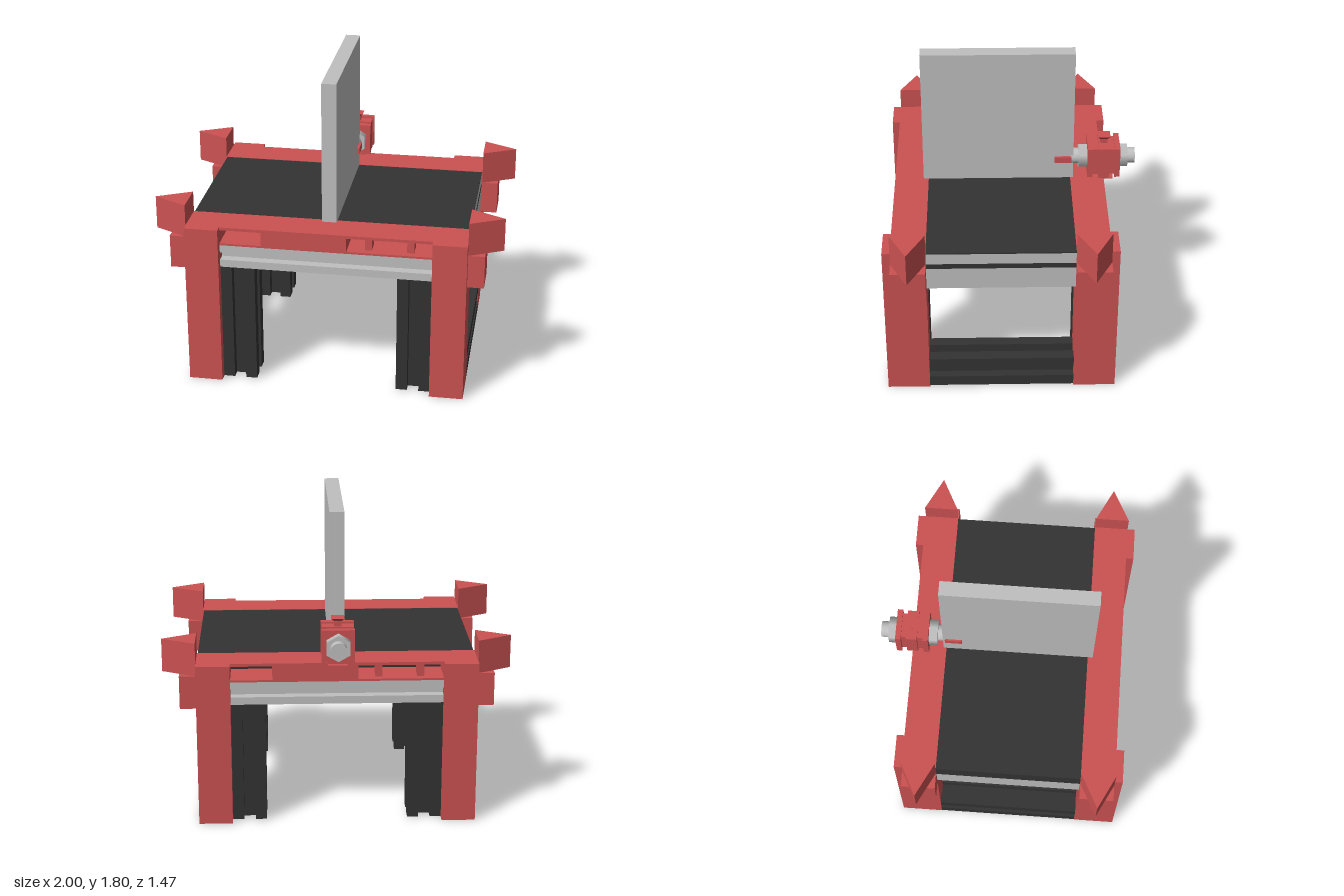
import * as THREE from 'three';

const material = (name, color) => {
  const m = new THREE.MeshStandardMaterial({ color });
  m.name = name;
  return m;
};

export function createModel() {
  const red = material('red', 0xcc5252);
  const dark = material('charcoal', 0x333333);
  const grey = material('light grey', 0xc0c0c0);
  const model = new THREE.Group();
  model.name = 'conveyorTable';

  const add = (parent, name, geometry, mat) => {
    const mesh = new THREE.Mesh(geometry, mat);
    mesh.name = name;
    parent.add(mesh);
    return mesh;
  };

  // Box given by its limits on each axis
  const box = (parent, name, mat, [x0, x1], [y0, y1], [z0, z1]) => {
    const mesh = add(parent, name, new THREE.BoxGeometry(x1 - x0, y1 - y0, z1 - z0), mat);
    mesh.position.set((x0 + x1) / 2, (y0 + y1) / 2, (z0 + z1) / 2);
    return mesh;
  };

  // Slotted bar of size w by h, centred on its own z axis
  const slottedBar = (w, h, length) => {
    const side = [[-0.5, -0.5], [-0.17, -0.5], [-0.17, -0.24], [0.17, -0.24], [0.17, -0.5]];
    const points = [];
    for (let k = 0; k < 4; k++) {
      const c = Math.round(Math.cos(k * Math.PI / 2)), s = Math.round(Math.sin(k * Math.PI / 2));
      for (const [x, y] of side) points.push(new THREE.Vector2((x * c - y * s) * w, (x * s + y * c) * h));
    }
    return new THREE.ExtrudeGeometry(new THREE.Shape(points), { depth: length, bevelEnabled: false })
      .translate(0, 0, -length / 2);
  };

  // Front frame, and the back frame as the same part turned half round
  for (const [name, z, turn] of [['frontFrame', 0.59, 0], ['backFrame', -0.455, Math.PI]]) {
    const frame = new THREE.Group();
    frame.name = name;
    frame.position.z = z;
    frame.rotation.y = turn;
    model.add(frame);

    for (const s of [-1, 1]) {
      const span = (a, b) => (s > 0 ? [a, b] : [-b, -a]);
      box(frame, 'leg', red, span(0.61, 0.805), [0, 0.967], [-0.1, 0.145]);
      box(frame, 'sideBracket', red, span(0.805, 0.9), [0.7, 0.895], [-0.1, 0.1]);
      const post = add(frame, 'slottedPost', slottedBar(0.198, 0.198, 0.715), dark);
      post.rotation.x = Math.PI / 2;
      post.position.set(s * 0.51, 0.3625, 0);

      // Pointed corner guide
      const wedge = new THREE.Shape([
        new THREE.Vector2(0.805, -0.1), new THREE.Vector2(1, 0), new THREE.Vector2(0.805, 0.1)
      ]);
      const guide = add(frame, 'cornerGuide',
        new THREE.ExtrudeGeometry(wedge, { depth: 0.195, bevelEnabled: false }).rotateX(-Math.PI / 2), red);
      guide.position.y = 0.895;
      if (s < 0) guide.rotation.y = Math.PI;
    }

    // Top beam with open windows
    box(frame, 'beamTop', red, [-0.61, 0.61], [0.95, 0.967], [-0.1, 0.1]);
    box(frame, 'beamBottom', red, [-0.61, 0.61], [0.856, 0.868], [-0.1, 0.1]);
    box(frame, 'beamCore', red, [-0.37, 0.12], [0.868, 0.95], [-0.1, 0.1]);
    for (const x of [0.24, 0.48]) box(frame, 'windowDivider', red, [x - 0.02, x + 0.02], [0.868, 0.95], [-0.02, 0.06]);

    // Grey rail below the beam
    const rail = add(frame, 'slottedRail', slottedBar(0.198, 0.136, 1.22), grey);
    rail.rotation.y = Math.PI / 2;
    rail.position.y = 0.788;
  }

  // Floor bars between the legs
  for (const s of [-1, 1]) {
    const bar = add(model, 'floorBar', slottedBar(0.195, 0.195, 0.845), dark);
    bar.position.set(s * 0.708, 0.108, 0.0675);
  }

  // Layered bed with its dark belt on top and over one end
  const bedZ = [-0.355, 0.49];
  box(model, 'bedBase', grey, [-0.8, 0.8], [0.722, 0.858], bedZ);
  box(model, 'bedGap', dark, [-0.8, 0.8], [0.858, 0.89], bedZ);
  box(model, 'bedPlate', grey, [-0.793, 0.8], [0.89, 0.957], bedZ);
  box(model, 'beltTop', dark, [-0.8, 0.8], [0.957, 0.965], bedZ);
  box(model, 'beltEnd', dark, [-0.8, -0.793], [0.89, 0.957], bedZ);

  // Upright panel across the bed
  box(model, 'uprightPanel', grey, [-0.047, 0.038], [0.965, 1.8], [-0.372, 0.52]);

  // Clamp block behind the panel
  const clamp = new THREE.Group();
  clamp.name = 'clamp';
  clamp.position.set(-0.002, 1.095, -0.55);
  model.add(clamp);
  box(clamp, 'clampCore', red, [-0.075, 0.075], [-0.085, 0.085], [-0.08, 0.08]);
  box(clamp, 'clampMiddle', red, [-0.09, 0.09], [-0.095, 0.095], [-0.035, 0.03]);
  for (const z of [-0.08, 0.08]) box(clamp, 'clampFlange', red, [-0.094, 0.094], [-0.095, 0.095], [z - 0.016, z + 0.016]);
  box(clamp, 'clampFoot', red, [-0.055, 0.055], [-0.13, -0.09], [-0.035, 0.025]);
  box(clamp, 'footPlate', red, [-0.055, 0.055], [-0.134, -0.124], [-0.06, 0.03]);
  box(clamp, 'capNeck', red, [-0.02, 0.02], [0.09, 0.125], [-0.022, 0.018]);
  const cap = add(clamp, 'cap', new THREE.CylinderGeometry(0.053, 0.03, 0.018, 4).rotateY(Math.PI / 4), red);
  cap.position.set(0, 0.135, -0.002);
  box(clamp, 'pressBar', red, [-0.055, 0.055], [-0.019, 0.019], [0.19, 0.29]);

  // Threaded rod and hex nuts along z
  const round = (name, radius, z0, z1, sides) => {
    const g = new THREE.CylinderGeometry(radius, radius, z1 - z0, sides).rotateX(Math.PI / 2);
    add(clamp, name, g, grey).position.z = (z0 + z1) / 2;
  };
  round('rod', 0.047, -0.187, 0.195, 24);
  round('frontNut', 0.077, 0.096, 0.148, 6);
  round('backNut', 0.077, -0.142, -0.096, 6);

  return model;
}
